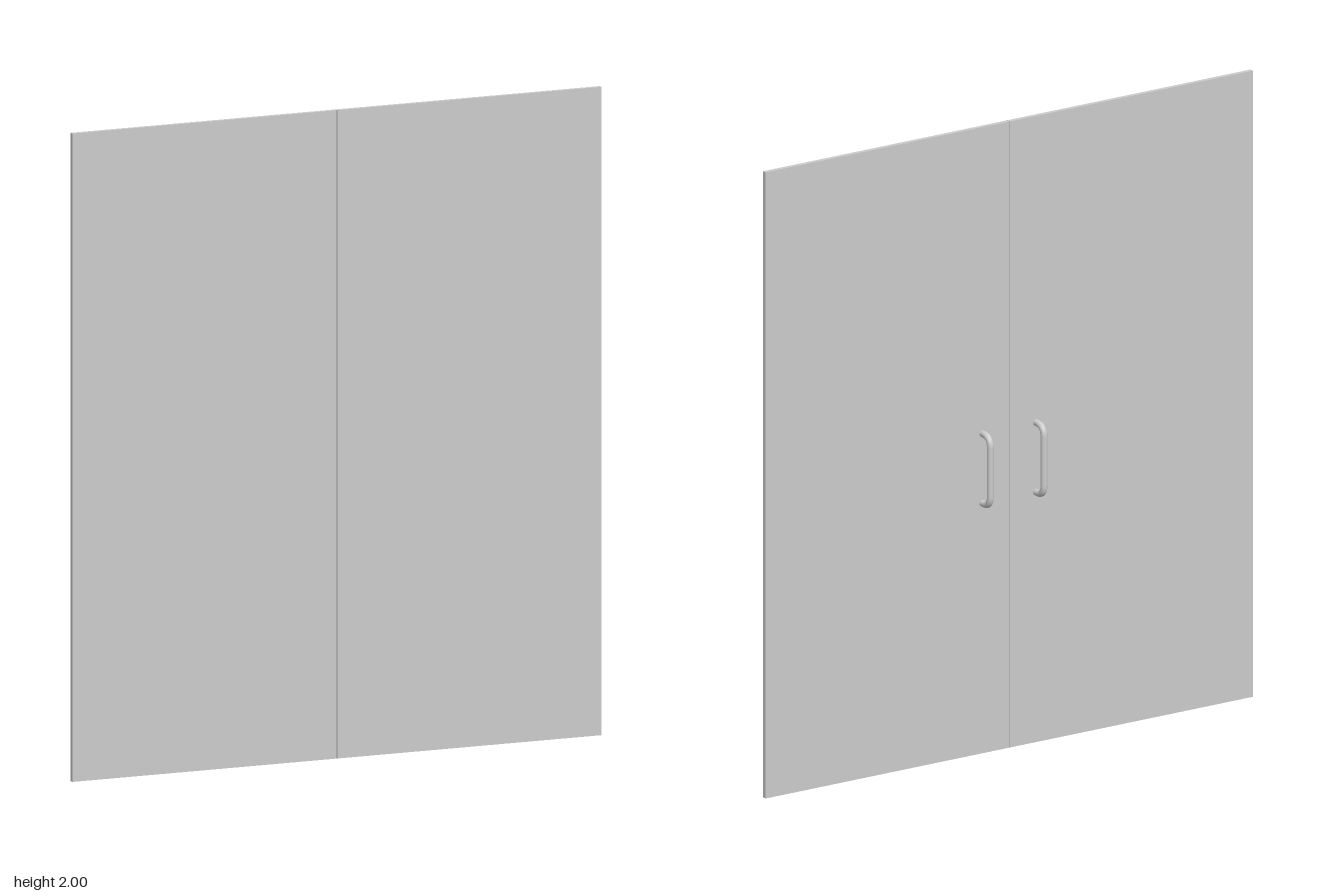
import * as THREE from 'three';

const material = new THREE.MeshStandardMaterial({ color: 0xcccccc });

// Bent round bar on the rear face: two short legs, rounded corners, straight grip
function handlePath(x) {
  const v = (y, z) => new THREE.Vector3(x, y, z);
  const top = 1.021, bottom = 0.799, root = 0.022, grip = -0.0235, bend = 0.034;
  const path = new THREE.CurvePath();
  path.add(new THREE.LineCurve3(v(top, root), v(top, grip + bend)));
  path.add(new THREE.QuadraticBezierCurve3(v(top, grip + bend), v(top, grip), v(top - bend, grip)));
  path.add(new THREE.LineCurve3(v(top - bend, grip), v(bottom + bend, grip)));
  path.add(new THREE.QuadraticBezierCurve3(v(bottom + bend, grip), v(bottom, grip), v(bottom, grip + bend)));
  path.add(new THREE.LineCurve3(v(bottom, grip + bend), v(bottom, root)));
  return path;
}

export function createModel() {
  const group = new THREE.Group();
  group.name = 'doubleDoor';
  const halfWidth = 0.882, halfGap = 0.001, height = 2, thickness = 0.014, front = 0.034;

  for (const [side, label] of [[1, 'left'], [-1, 'right']]) {
    // Flat leaf, separated from its twin by a hairline gap
    const width = halfWidth - halfGap;
    const leaf = new THREE.Mesh(new THREE.BoxGeometry(width, height, thickness), material);
    leaf.name = label + 'Leaf';
    leaf.position.set(side * (halfGap + width / 2), height / 2, front - thickness / 2);
    group.add(leaf);

    // Pull handle, its ends sunk into the leaf
    const handle = new THREE.Mesh(
      new THREE.TubeGeometry(handlePath(side * 0.097), 96, 0.0105, 20, false), material);
    handle.name = label + 'Handle';
    group.add(handle);
  }
  return group;
}
